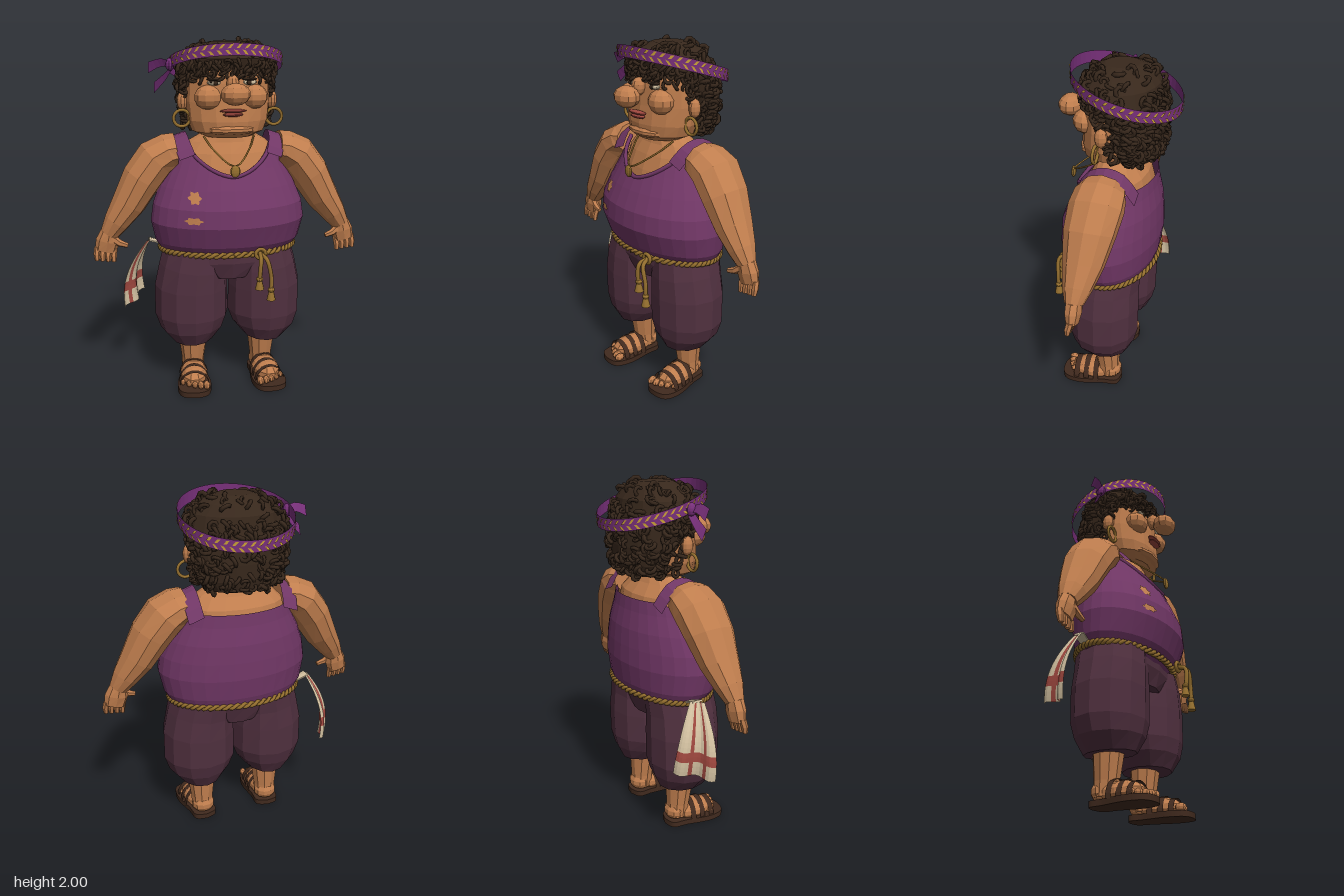
import * as THREE from 'three';
import { mergeGeometries } from 'three/addons/utils/BufferGeometryUtils.js';

const { sin, cos, PI, abs, min, sqrt } = Math;
const V = (x, y, z) => new THREE.Vector3(x, y, z);

export function createModel() {
  const model = new THREE.Group();
  const mat = (name, color, side = THREE.FrontSide) =>
    Object.assign(new THREE.MeshStandardMaterial({ color, side }), { name });
  const skin = mat('skin', 0xc07e4e), hairM = mat('hair', 0x38281c), gold = mat('rope gold', 0x96702f);
  const shirt = mat('shirt purple', 0x713766, THREE.DoubleSide), pants = mat('trousers plum', 0x50303f);
  const leather = mat('leather', 0x412a1e, THREE.DoubleSide), cream = mat('cream', 0xd2c0a0, THREE.DoubleSide);
  const red = mat('red', 0xa0483f, THREE.DoubleSide), bandM = mat('headband purple', 0x78307a, THREE.DoubleSide);
  const leafM = mat('leaf yellow', 0xc9a035, THREE.DoubleSide);

  let seed = 7;
  const rand = () => (seed = (seed * 16807) % 2147483647) / 2147483647;
  const add = (name, geo, m, parent = model) => {
    const mesh = new THREE.Mesh(geo, m);
    mesh.name = name;
    parent.add(mesh);
    return mesh;
  };
  const flat = g => { const f = g.index ? g.toNonIndexed() : g; f.computeVertexNormals(); return f; };

  // Surface over a grid of cells; f(u, v) gives points, faces look along du x dv
  const grid = (f, nu, nv) => {
    const p = [];
    for (let j = 0; j < nv; j++) for (let i = 0; i < nu; i++) {
      const q = (a, b) => f((i + a) / nu, (j + b) / nv);
      for (const c of [q(0, 0), q(1, 0), q(1, 1), q(0, 0), q(1, 1), q(0, 1)]) p.push(c.x, c.y, c.z);
    }
    const g = new THREE.BufferGeometry();
    g.setAttribute('position', new THREE.Float32BufferAttribute(p, 3));
    return flat(g);
  };
  // Capped loft through sections [x, y, z, radius across, radius in z]
  const loft = (s, sides = 10) => {
    const n = s.length - 1;
    const rows = [[...s[0].slice(0, 3), 0, 0], ...s, [...s[n].slice(0, 3), 0, 0]];
    return grid((u, v) => {
      const k = Math.round(v * (n + 2)), i = Math.max(0, min(n, k - 1)), r = rows[k];
      const a = s[Math.max(0, i - 1)], b = s[min(n, i + 1)];
      const A = V(a[1] - b[1], b[0] - a[0], 0).normalize(), t = u * 2 * PI;
      return V(r[0], r[1], r[2] + sin(t) * r[4]).addScaledVector(A, cos(t) * r[3]);
    }, sides, n + 2);
  };
  const ball = (x, y, z, rx, ry, rz, w = 10, h = 7) =>
    flat(new THREE.SphereGeometry(1, w, h)).scale(rx, ry, rz).translate(x, y, z);
  const tube = (pts, r, n = 16) => new THREE.TubeGeometry(new THREE.CatmullRomCurve3(pts), n, r, 6);
  const at = (rows, y) => {
    let i = 0;
    while (i < rows.length - 2 && y > rows[i + 1][0]) i++;
    const t = Math.max(0, min(1, (y - rows[i][0]) / (rows[i + 1][0] - rows[i][0])));
    return rows[i].map((a, k) => a + (rows[i + 1][k] - a) * t);
  };
  // Vertical profile rows: y, half width, half depth, centre z
  const body = (rows, sides) => loft(rows.map(r => [0, r[0], r[3], r[1], r[2]]), sides);

  // Vest with scooped neck and armholes
  const vest = [[0.8, 0.36, 0.205, 0.005], [0.83, 0.385, 0.225, 0.005], [0.88, 0.415, 0.25, 0.015],
    [1.0, 0.44, 0.28, 0.03], [1.1, 0.425, 0.275, 0.028], [1.2, 0.385, 0.25, 0.01], [1.3, 0.335, 0.215, -0.005],
    [1.38, 0.3, 0.19, -0.02], [1.46, 0.26, 0.13, -0.02]];
  const vestPoint = (t, y) => { const r = at(vest, y); return V(sin(t) * r[1], y, r[3] + cos(t) * r[2]); };
  const hem = t => {
    const X = abs(sin(t));
    if (X > 0.86) return 1.28 + (cos(t) > 0 ? 0.15 : 0.09) * (1 - X) / 0.14;
    return cos(t) > 0 ? 1.27 + 0.16 * (X / 0.86) ** 1.6 : 1.37;
  };
  const vestRows = vest.map(r => r[0]);
  add('vest', grid((u, v) => {
    const t = u * 2 * PI;
    return vestPoint(t, min(vestRows[Math.round(v * 8)], hem(t)));
  }, 32, 8), shirt);
  const neckline = [];
  for (let i = -6; i <= 6; i++) neckline.push(vestPoint(i * 0.17, hem(i * 0.17)));
  add('necklineTrim', tube(neckline, 0.012, 24), shirt);
  for (const s of [-1, 1]) {
    const path = new THREE.CatmullRomCurve3([V(s * 0.24, 1.37, 0.15), V(s * 0.265, 1.44, 0.09), V(s * 0.275, 1.475, 0),
      V(s * 0.28, 1.45, -0.1), V(s * 0.27, 1.35, -0.175)]);
    add('shoulderStrap', grid((u, v) => path.getPoint(v).add(V((u - 0.5) * 0.085, -(u - 0.5) * s * 0.03, 0)), 1, 8), shirt);
  }
  // Torn holes showing skin
  const hole = (x0, y0, rx, ry, k) => add('vestHole', grid((u, v) => {
    const a = -u * 2 * PI, w = v * (1 + k * cos(6 * a));
    const x = x0 + rx * w * cos(a), y = y0 + ry * w * sin(a), r = at(vest, y);
    return V(x, y, r[3] + r[2] * sqrt(1 - (x / r[1]) ** 2) + 0.005);
  }, 24, 2), skin);
  hole(-0.215, 1.165, 0.031, 0.031, 0.2);
  hole(-0.225, 1.045, 0.044, 0.018, 0.18);

  // Chest, neck and head
  add('chest', body([[1.18, 0.34, 0.2, 0], [1.3, 0.3, 0.18, -0.01], [1.38, 0.28, 0.155, -0.015], [1.44, 0.22, 0.115, -0.005],
    [1.48, 0.15, 0.1, 0], [1.54, 0.14, 0.1, 0]], 16), skin);
  add('head', body([[1.47, 0.13, 0.11, 0.04], [1.5, 0.2, 0.155, 0.03], [1.56, 0.225, 0.165, 0.025], [1.66, 0.235, 0.16, 0.02],
    [1.76, 0.23, 0.155, 0.02], [1.86, 0.22, 0.16, 0], [1.93, 0.15, 0.1, 0]], 16), skin);
  add('nose', ball(0, 1.715, 0.268, 0.08, 0.058, 0.066), skin);
  add('noseBridge', ball(0, 1.76, 0.19, 0.035, 0.05, 0.04), skin);
  add('chin', ball(0, 1.515, 0.13, 0.14, 0.035, 0.075), skin);
  add('upperLip', ball(0, 1.622, 0.2, 0.072, 0.011, 0.024), red);
  add('lowerLip', ball(0, 1.602, 0.198, 0.055, 0.012, 0.024), red);
  for (const s of [-1, 1]) {
    add('cheek', ball(s * 0.125, 1.69, 0.14, 0.075, 0.066, 0.07), skin);
    add('eye', ball(s * 0.095, 1.768, 0.16, 0.038, 0.016, 0.02), cream);
    add('iris', ball(s * 0.09, 1.768, 0.176, 0.014, 0.014, 0.008), hairM);
    add('eyelid', ball(s * 0.095, 1.785, 0.165, 0.042, 0.009, 0.025), hairM);
    add('ear', ball(s * 0.25, 1.66, 0.02, 0.03, 0.052, 0.035), skin);
    add('earring', new THREE.TorusGeometry(0.045, 0.009, 6, 18), gold).position.set(s * 0.257, 1.57, 0.05);
  }

  // Hair cap with scattered curls
  const hair = [[1.5, 0.18, 0.1, -0.13], [1.56, 0.225, 0.125, -0.12], [1.65, 0.25, 0.145, -0.105], [1.75, 0.262, 0.175, -0.07],
    [1.82, 0.264, 0.195, -0.035], [1.89, 0.245, 0.2, -0.02], [1.94, 0.19, 0.165, -0.02], [1.975, 0.09, 0.09, -0.02]];
  add('hairCap', body(hair, 20), hairM);
  const curls = [];
  const curl = (x, y, z, r) => curls.push(new THREE.TorusGeometry(r, r * 0.48, 5, 8)
    .rotateX(rand() * 2).rotateY(rand() * 6).rotateZ(rand() * 2).translate(x, y, z));
  for (let i = 0; i < 420; i++) {
    const y = i < 370 ? 1.5 + 0.36 * rand() : 1.88 + 0.09 * rand(), t = rand() * 2 * PI, r = at(hair, y);
    const x = sin(t) * r[1], z = r[3] + cos(t) * r[2];
    if ((y < 1.8 && z > 0.07) || (y < 1.69 && z > -0.03)) continue;
    curl(x, y, z, 0.017 + rand() * 0.009);
  }
  // Fringe and side locks
  for (let i = 0; i < 50; i++) {
    const t = (i / 49 - 0.5) * 2.9, y = 1.795 + 0.025 * (i % 4) + 0.01 * rand();
    curl(sin(t) * 0.24, y - 0.03 * abs(sin(t)), -0.02 + cos(t) * 0.2, 0.019);
  }
  for (const s of [-1, 1]) for (let i = 0; i < 12; i++) curl(s * (0.25 - rand() * 0.02), 1.52 + i * 0.022, -0.045 + i * 0.009, 0.021);
  add('curls', mergeGeometries(curls), hairM);

  // Tilted headband with leaf pattern and knotted tails
  const band = (t, h, o = 0) => {
    const z = -0.045 + cos(t) * (0.288 + o);
    return V(sin(t) * (0.312 + o), 1.855 + 0.3 * (z + 0.045) + h, z);
  };
  add('headband', grid((u, v) => band(u * 2 * PI, (v - 0.5) * 0.064), 48, 1), bandM);
  const leaves = [];
  for (let i = 0; i < 44; i++) for (const s of [-1, 1]) {
    const a = i * 2 * PI / 44 + s * 0.02;
    leaves.push(grid((u, v) => band(a + 0.055 * (u + v), s * (0.003 + 0.012 * (u + v) + 0.009 * (u - v)), 0.005), 1, 1));
  }
  add('headbandLeaves', mergeGeometries(leaves), leafM);
  add('headbandKnot', ball(-0.312, 1.855, 0, 0.025, 0.035, 0.03), bandM);
  const tail = (...pts) => {
    const c = new THREE.CatmullRomCurve3(pts);
    add('headbandTail', grid((u, v) => c.getPoint(v).add(V(0, (u - 0.5) * (0.03 + 0.03 * v), (u - 0.5) * 0.025)), 1, 6), bandM);
  };
  tail(V(-0.3, 1.85, 0), V(-0.36, 1.865, 0.01), V(-0.43, 1.84, 0.015));
  tail(V(-0.3, 1.84, 0), V(-0.34, 1.79, 0.01), V(-0.4, 1.735, 0.02));

  // Necklace
  add('necklaceCord', tube([V(-0.14, 1.47, 0.07), V(-0.1, 1.41, 0.15), V(0, 1.335, 0.26), V(0.1, 1.41, 0.15), V(0.14, 1.47, 0.07)], 0.005), gold);
  add('pendant', ball(0, 1.31, 0.267, 0.028, 0.034, 0.012), gold);

  // Twisted rope belt with hanging tassels
  for (const k of [0, PI]) {
    const pts = [];
    for (let i = 0; i <= 240; i++) {
      const t = i * 2 * PI / 240, w = t * 30 + k, o = 0.01 * cos(w);
      pts.push(V(sin(t) * (0.385 + o), 0.832 + 0.01 * sin(w), 0.008 + cos(t) * (0.234 + o)));
    }
    add('ropeBelt', tube(pts, 0.0105, 300), gold);
  }
  add('beltLoop', new THREE.TorusGeometry(0.027, 0.011, 6, 14), gold).position.set(0.145, 0.84, 0.262);
  for (const [x, y, z] of [[0.13, 0.65, 0.31], [0.195, 0.585, 0.315]]) {
    add('beltCord', tube([V(0.145, 0.84, 0.25), V((x + 0.145) / 2, 0.82, 0.31), V(x, 0.72, 0.315), V(x, y + 0.05, z)], 0.012), gold);
    add('tasselKnot', ball(x, y + 0.06, z, 0.02, 0.016, 0.02), gold);
    add('tassel', new THREE.CylinderGeometry(0.013, 0.026, 0.055, 8), gold).position.set(x, y + 0.028, z);
  }

  // Towel tucked in the belt; cells coloured by row and column
  const mix = (a, b, t) => a.clone().lerp(b, t);
  const towel = grid((u, v) => {
    const low = mix(V(-0.475, 0.5, -0.205), V(-0.595, 0.45, -0.01), u), top = mix(V(-0.43, 0.87, -0.07), V(-0.465, 0.86, 0), u);
    const p = low.clone().lerp(top, v * v), wave = 0.016 * sin(u * 9) * (1 - v * 0.6);
    return V(p.x - wave - 0.02 * sin(v * PI), low.y + (top.y - low.y) * v, p.z - wave);
  }, 12, 14);
  for (let c = 0; c < 168; c++) {
    const i = c % 12, j = Math.floor(c / 12);
    towel.addGroup(c * 6, 6, j === 3 || j === 4 || i === 4 || i === 8 ? 1 : 0);
  }
  add('towel', towel, [cream, red]);
  add('towelTuck', loft([[-0.37, 0.84, -0.04, 0.008, 0.03], [-0.45, 0.866, -0.035, 0.008, 0.035]], 6), cream);

  // Trousers seat
  add('trousersSeat', body([[0.675, 0.17, 0.165, 0.025], [0.77, 0.36, 0.19, 0.025], [0.84, 0.37, 0.205, 0.01]], 16), pants);

  for (const s of [-1, 1]) {
    const side = rows => rows.map(([x, ...r]) => [x * s, ...r]);
    // Arm and hand
    add('arm', loft(side([[0.29, 1.39, 0, 0.095, 0.125], [0.33, 1.385, 0, 0.1, 0.14], [0.4, 1.345, 0, 0.115, 0.148],
      [0.48, 1.24, 0.01, 0.112, 0.138], [0.56, 1.1, 0.02, 0.095, 0.11], [0.63, 1, 0.03, 0.073, 0.08], [0.675, 0.93, 0.035, 0.052, 0.05]])), skin);
    add('palm', loft(side([[0.672, 0.945, 0.035, 0.05, 0.045], [0.685, 0.89, 0.035, 0.066, 0.045], [0.7, 0.83, 0.035, 0.06, 0.032]]), 8), skin);
    for (let i = 0; i < 4; i++) {
      const x = 0.65 + i * 0.031, y = 0.845 + i * 0.004;
      add('finger', loft(side([[x, y, 0.035, 0.018, 0.02], [x + 0.006, y - 0.04, 0.045, 0.018, 0.019], [x + 0.005, y - 0.075, 0.05, 0.013, 0.014]]), 6), skin);
    }
    add('thumb', loft(side([[0.66, 0.91, 0.05, 0.024, 0.024], [0.62, 0.88, 0.06, 0.02, 0.02], [0.575, 0.865, 0.065, 0.014, 0.014]]), 6), skin);
    // Trouser leg and shin
    add('trouserLeg', loft(side([[0.21, 0.27, 0.025, 0.12, 0.145], [0.215, 0.35, 0.027, 0.185, 0.185], [0.215, 0.43, 0.025, 0.214, 0.203],
      [0.215, 0.6, 0.025, 0.213, 0.207], [0.205, 0.72, 0.025, 0.195, 0.203], [0.19, 0.82, 0.015, 0.18, 0.2]]), 12), pants);
    add('shin', loft(side([[0.208, 0.05, 0, 0.065, 0.065], [0.208, 0.13, 0.005, 0.068, 0.068], [0.208, 0.3, 0.015, 0.09, 0.085]])), skin);

    // Foot in a sandal
    const foot = new THREE.Group();
    foot.name = 'foot';
    foot.position.x = s * 0.208;
    foot.rotation.y = s * 0.08;
    model.add(foot);
    const outline = new THREE.Shape();
    outline.moveTo(0, -0.08);
    outline.splineThru([[0.065, -0.055], [0.075, 0.03], [0.098, 0.17], [0.075, 0.265], [0, 0.29], [-0.075, 0.265],
      [-0.098, 0.17], [-0.075, 0.03], [-0.065, -0.055], [0, -0.08]].map(p => new THREE.Vector2(...p)));
    add('sole', flat(new THREE.ExtrudeGeometry(outline, { depth: 0.032, bevelEnabled: false, curveSegments: 20 }))
      .rotateX(PI / 2).translate(0, 0.032, 0), leather, foot);
    add('heel', ball(0, 0.08, -0.015, 0.07, 0.058, 0.062), skin, foot);
    add('instep', ball(0, 0.065, 0.1, 0.08, 0.06, 0.135), skin, foot);
    for (let i = 0; i < 5; i++) {
      const k = (i - 2) * s, r = 0.023 - i * 0.0018;
      add('toe', ball(k * 0.034, 0.052, 0.24 - 0.006 * i * i / 2, r * 0.85, r, r * 1.4, 8, 6), skin, foot);
    }
    for (const [z, h] of [[0.19, 0.09], [0.13, 0.105], [0.07, 0.115]])
      add('sandalStrap', grid((u, v) => V(-cos(u * PI) * 0.087, 0.025 + sin(u * PI) * h, z + (v - 0.5) * 0.032), 12, 1), leather, foot);
  }
  return model;
}
